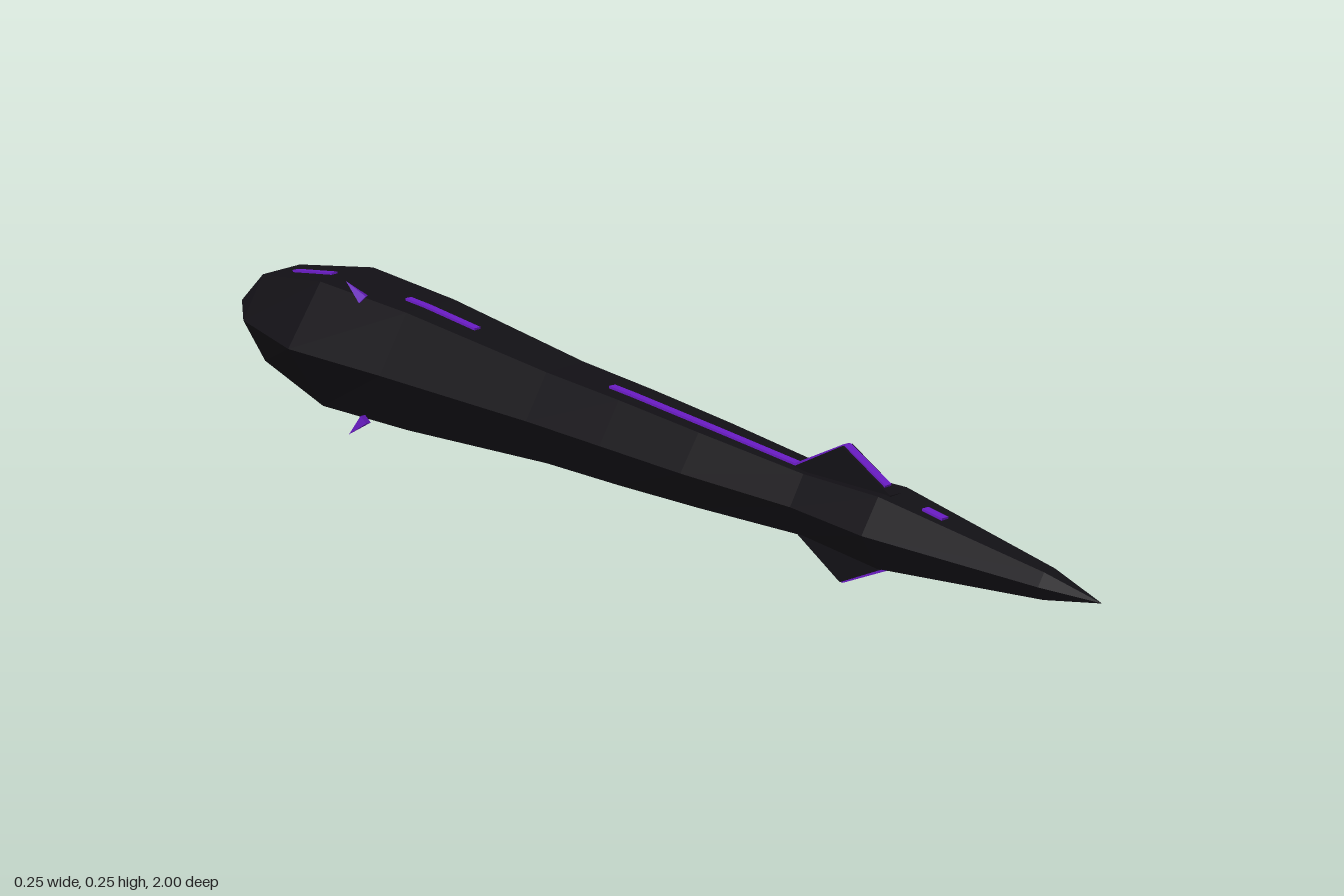
import * as THREE from 'three';

const CX = -0.013, CY = 0.136;
const dark = new THREE.MeshStandardMaterial({ color: 0x121015, flatShading: true });
const purple = new THREE.MeshStandardMaterial({ color: 0x6a1cc4, flatShading: true });

// Body rings: z, half width towards -x, half width towards +x, half height
const RINGS = [
  [-1, 0, 0, 0],
  [-0.89, 0.072, 0.078, 0.076],
  [-0.7, 0.115, 0.1, 0.107],
  [-0.48, 0.094, 0.096, 0.099],
  [-0.14, 0.07, 0.074, 0.074],
  [0.03, 0.065, 0.069, 0.068],
  [0.21, 0.06, 0.063, 0.059],
  [0.43, 0.043, 0.048, 0.047],
  [0.59, 0.053, 0.056, 0.054],
  [0.9, 0.019, 0.022, 0.02],
  [1, 0, 0, 0],
];
// Slightly uneven six-sided section
const SECTION = [[1, 0], [0.55, 1], [-0.43, 0.94], [-1, 0], [-0.43, -1], [0.55, -0.96]];

function add(group, name, geometry, material) {
  const mesh = new THREE.Mesh(geometry, material);
  mesh.name = name;
  group.add(mesh);
  return mesh;
}

function bodyGeometry() {
  const pos = [], index = [], n = SECTION.length;
  for (const [z, left, right, h] of RINGS)
    for (const [u, v] of SECTION) pos.push(CX + u * (u < 0 ? left : right), CY + v * h, z);
  for (let i = 0; i < RINGS.length - 1; i++)
    for (let k = 0; k < n; k++) {
      const a = i * n + k, b = i * n + (k + 1) % n;
      if (i > 0) index.push(a, b, a + n);
      if (i < RINGS.length - 2) index.push(b, b + n, a + n);
      else if (i === 0) index.push(b, b + n, a + n);
    }
  const geo = new THREE.BufferGeometry();
  geo.setAttribute('position', new THREE.Float32BufferAttribute(pos, 3));
  geo.setIndex(index);
  geo.computeVertexNormals();
  return geo;
}

// Height of the flat top or bottom above the axis at a given z
function surface(z) {
  const i = Math.max(1, RINGS.findIndex(r => r[0] >= z));
  const a = RINGS[i - 1], b = RINGS[i];
  return 0.97 * THREE.MathUtils.lerp(a[3], b[3], (z - a[0]) / (b[0] - a[0]));
}

// Thin glowing bar between two points [z, height] on the centre line
function bar(group, name, side, [z0, h0], [z1, h1], width = 0.012) {
  const mesh = add(group, name, new THREE.BoxGeometry(width, 0.006, Math.hypot(z1 - z0, h1 - h0)), purple);
  mesh.position.set(CX, CY + side * (h0 + h1) / 2, (z0 + z1) / 2);
  mesh.rotation.x = -side * Math.atan2(h1 - h0, z1 - z0);
}

// Spike from a base point to a tip
function spike(group, base, tip) {
  const dir = tip.clone().sub(base);
  const mesh = add(group, 'spike', new THREE.ConeGeometry(0.011, dir.length(), 4), purple);
  mesh.position.copy(base).add(tip).multiplyScalar(0.5);
  mesh.quaternion.setFromUnitVectors(new THREE.Vector3(0, 1, 0), dir.normalize());
}

export function createModel() {
  const model = new THREE.Group();
  model.name = 'crystalShaft';
  add(model, 'body', bodyGeometry(), dark);

  // Inlaid strips and ridge fins, mirrored above and below
  const strips = [[-0.915, -0.905], [-0.84, -0.73], [-0.53, -0.48], [-0.48, -0.35],
    [-0.02, 0.03], [0.03, 0.21], [0.21, 0.42], [0.66, 0.7]];
  const finWidth = 0.02;
  for (const side of [1, -1]) {
    for (const [a, b] of strips) bar(model, 'strip', side, [a, surface(a)], [b, surface(b)]);

    const shape = new THREE.Shape([[0.4, 0.047], [0.4, 0], [0.6, 0], [0.6, 0.052], [0.5, 0.1]]
      .map(([z, h]) => new THREE.Vector2(z, side * h)));
    const geo = new THREE.ExtrudeGeometry(shape, { depth: finWidth, bevelEnabled: false });
    geo.translate(0, 0, -finWidth / 2).rotateY(-Math.PI / 2);
    add(model, 'fin', geo, dark).position.set(CX, CY, 0);
    bar(model, 'finEdge', side, [0.4, 0.048], [0.5, 0.099]);
    bar(model, 'finEdge', side, [0.5, 0.099], [0.585, 0.06]);
  }

  // Three swept spikes around the thick end
  for (let i = 0; i < 3; i++) {
    const a = i * Math.PI * 2 / 3;
    const at = (r, z) => new THREE.Vector3(CX + r * Math.cos(a), CY + r * Math.sin(a), z);
    spike(model, at(i ? 0.114 : 0.106, -0.572), at(i ? 0.146 : 0.138, -0.596));
  }
  return model;
}
